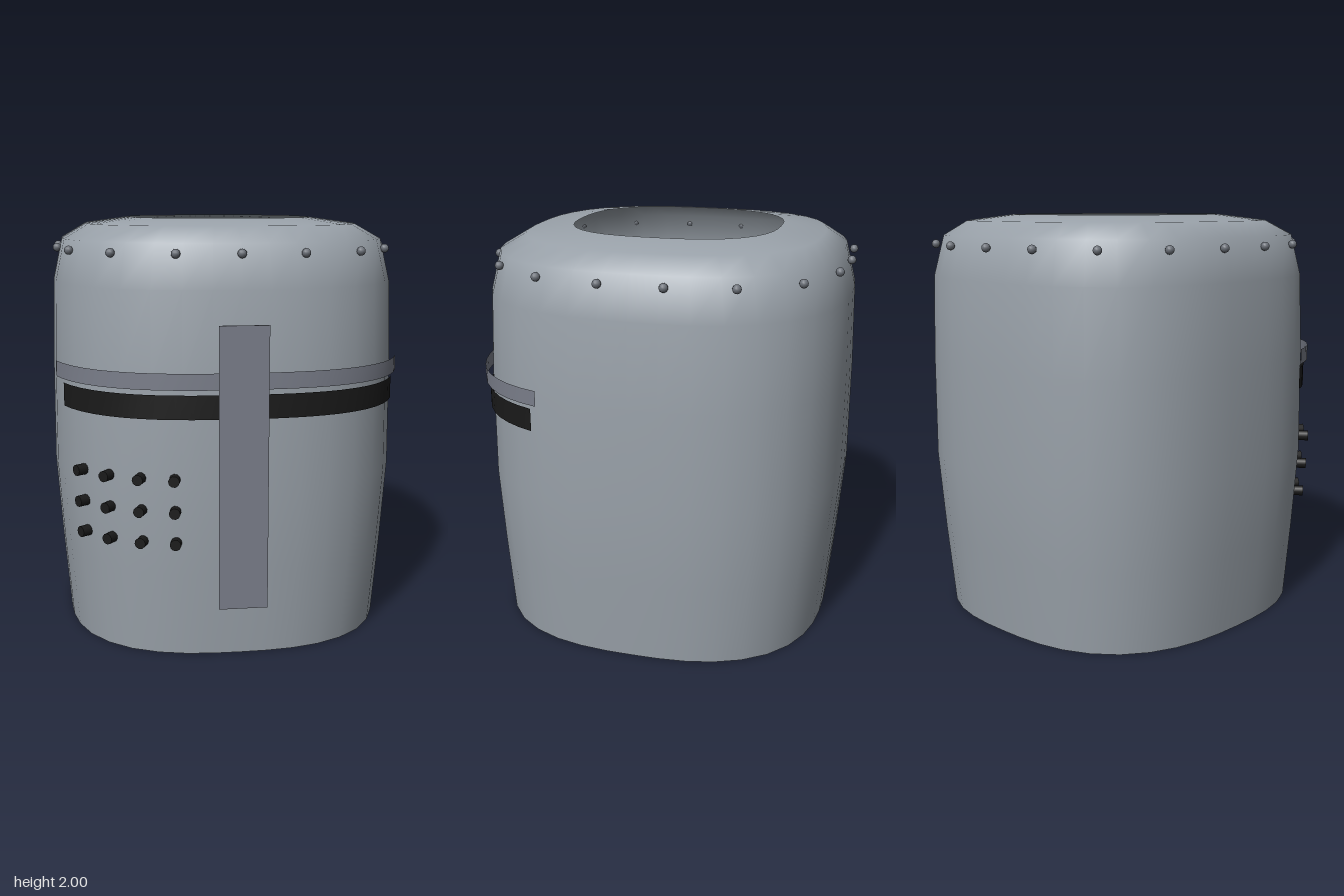
import * as THREE from 'three';

const mat = (name, color, side = THREE.FrontSide) => {
  const m = new THREE.MeshStandardMaterial({ color, side });
  m.name = name;
  return m;
};

// Point on a rounded-square ring; angle 0 faces the front, positive turns to +x
function ringPoint([y, rx, rz, zc], angle) {
  const s = Math.sin(angle), c = Math.cos(angle), n = 2.66;
  const r = Math.pow(Math.abs(s) ** n + Math.abs(c) ** n, -1 / n);
  return new THREE.Vector3(rx * r * s, y, zc + rz * r * c);
}

// Surface through rings listed from bottom to top
function loft(rings, from, to, steps, closed = false) {
  const cols = closed ? steps : steps + 1;
  const pos = [], index = [];
  for (const ring of rings) {
    for (let j = 0; j < cols; j++) {
      pos.push(...ringPoint(ring, from + ((to - from) * j) / steps).toArray());
    }
  }
  for (let i = 0; i < rings.length - 1; i++) {
    for (let j = 0; j < steps; j++) {
      const k = (j + 1) % cols;
      const a = i * cols + j, b = i * cols + k;
      const c = (i + 1) * cols + k, d = (i + 1) * cols + j;
      index.push(a, b, c, a, c, d);
    }
  }
  const g = new THREE.BufferGeometry();
  g.setAttribute('position', new THREE.Float32BufferAttribute(pos, 3));
  g.setIndex(index);
  g.computeVertexNormals();
  return g;
}

export function createModel() {
  const model = new THREE.Group();
  model.name = 'helmet';
  const steel = mat('steel', 0x9aa2aa, THREE.DoubleSide);
  const trim = mat('trim steel', 0x7a7e8a, THREE.DoubleSide);
  const rivetSteel = mat('rivet steel', 0x6c7179);
  const black = mat('black', 0x1a1a1a, THREE.DoubleSide);
  const deg = Math.PI / 180;

  const add = (name, geometry, material, parent = model) => {
    const mesh = new THREE.Mesh(geometry, material);
    mesh.name = name;
    parent.add(mesh);
    return mesh;
  };

  // Shell, open at the bottom and at the crown: y, half width, half depth, centre z
  const shell = [
    [0, 0.79, 0.835, -0.005],
    [0.4, 0.823, 0.868, -0.01],
    [0.8, 0.85, 0.895, -0.015],
    [1.3, 0.846, 0.893, -0.018],
    [1.7, 0.835, 0.88, -0.022],
    [1.9, 0.79, 0.83, -0.022],
    [1.97, 0.67, 0.72, -0.03],
    [2.0, 0.45, 0.505, -0.035],
  ];
  add('shell', loft(shell, 0, 2 * Math.PI, 40, true), steel);

  // Eye slit and the brow band above it
  const slit = [1.13, 1.24].map((y) => [y, 0.857, 0.905, -0.015]);
  add('eyeSlit', loft(slit, -60 * deg, 60 * deg, 24), black);
  const band = [1.265, 1.34].map((y) => [y, 0.874, 0.921, -0.015]);
  add('browBand', loft(band, -63 * deg, 63 * deg, 24), trim);

  // Upright bar down the face
  const bar = add('faceBar', new THREE.BoxGeometry(0.224, 1.3, 0.008), trim);
  bar.position.set(0, 0.9, 0.909);

  // Rivets round the crown
  const rivets = new THREE.Group();
  rivets.name = 'rivets';
  model.add(rivets);
  const rivetGeo = new THREE.SphereGeometry(0.021, 12, 8);
  for (let i = 0; i < 18; i++) {
    add('rivet', rivetGeo, rivetSteel, rivets).position.copy(
      ringPoint([1.855, 0.815, 0.86, -0.03], i * 20 * deg));
  }

  // Breathing holes on the right cheek, as short plugs pointing outward
  const breaths = new THREE.Group();
  breaths.name = 'breathingHoles';
  model.add(breaths);
  const plugGeo = new THREE.CylinderGeometry(0.026, 0.026, 0.055, 10);
  const up = new THREE.Vector3(0, 1, 0);
  [[0.555, 0.85, 0.895], [0.705, 0.86, 0.905], [0.855, 0.867, 0.91]].forEach(([y, rx, rz]) => {
    for (const angle of [-20, -30, -40, -50]) {
      const ring = [y, rx, rz, -0.015];
      const ahead = ringPoint(ring, (angle + 1) * deg);
      const behind = ringPoint(ring, (angle - 1) * deg);
      const along = ahead.sub(behind).normalize();
      const plug = add('breathingHole', plugGeo, black, breaths);
      plug.position.copy(ringPoint(ring, angle * deg));
      plug.quaternion.setFromUnitVectors(up, new THREE.Vector3(-along.z, 0, along.x));
    }
  });

  return model;
}
